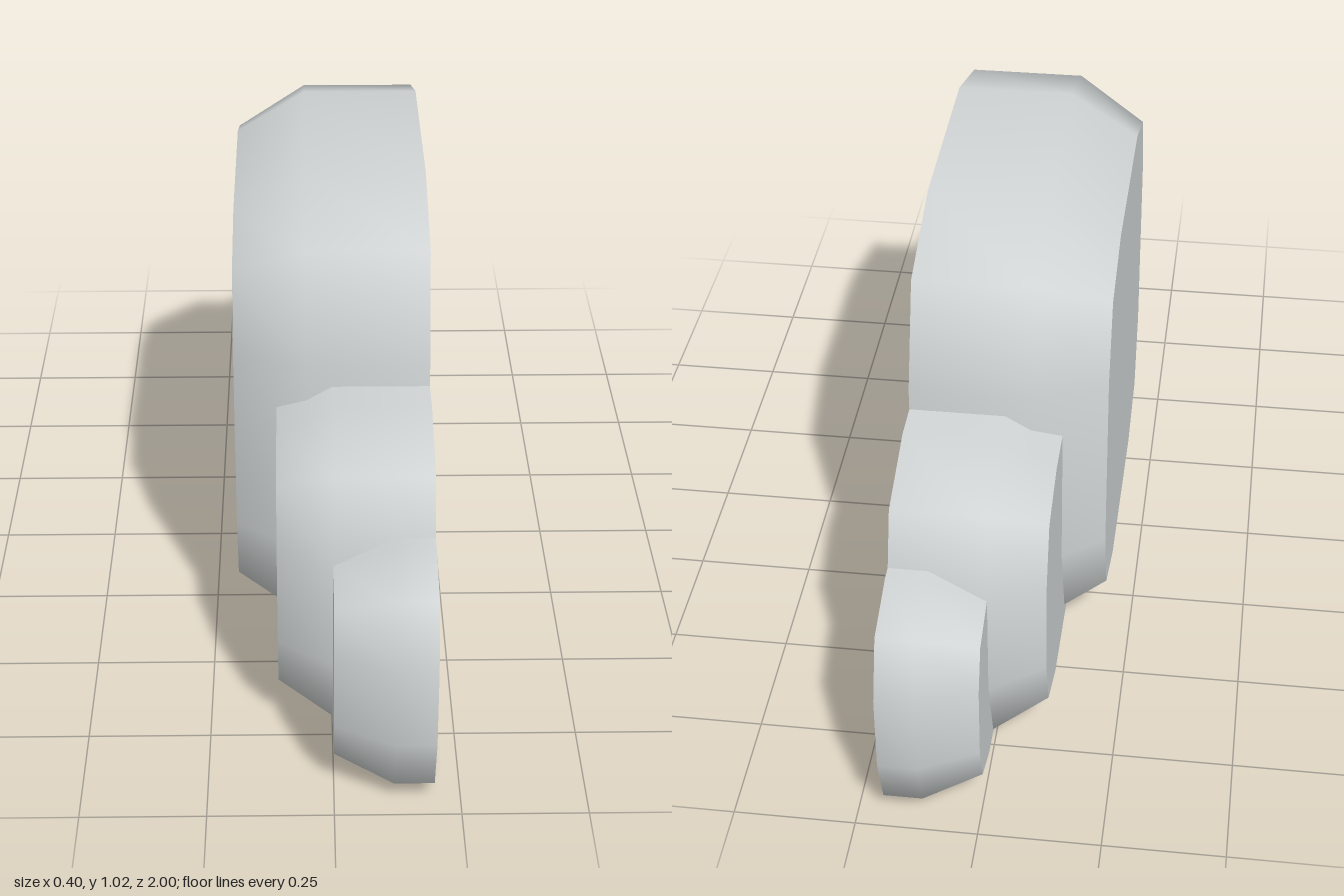
import * as THREE from 'three';

const BACK_X = 0.198;

// Rounded-rectangle outline (z, y), counter-clockwise, inset by b; two segments per corner
function outline(halfWidth, height, r, b) {
  const m = 0.25 * r + 0.8 * b, t = r + 0.155 * b;
  const corner = [[t, b], [m, m], [b, t]]; // inward distances from the sharp corner
  const rightBottom = corner.map(([dz, dy]) => new THREE.Vector2(halfWidth - dz, dy));
  const rightTop = rightBottom.map(p => new THREE.Vector2(p.x, height - p.y)).reverse();
  const right = [...rightBottom, ...rightTop];
  const left = right.map(p => new THREE.Vector2(-p.x, p.y)).reverse();
  return [...right, ...left];
}

// Smooth wall lofted from the flat back to the bevelled rim
function wallGeometry(rings) {
  const n = rings[0].points.length, pos = [], index = [];
  for (const { x, points } of rings) for (const p of points) pos.push(x, p.y, p.x);
  for (let k = 0; k < rings.length - 1; k++) {
    for (let i = 0; i < n; i++) {
      const j = (i + 1) % n;
      const a = k * n + i, b = k * n + j, c = b + n, d = a + n;
      index.push(a, b, c, a, c, d);
    }
  }
  const g = new THREE.BufferGeometry();
  g.setAttribute('position', new THREE.Float32BufferAttribute(pos, 3));
  g.setIndex(index);
  g.computeVertexNormals();
  return g;
}

export function createModel() {
  const model = new THREE.Group();
  model.name = 'halfCloud';
  const cloudGrey = new THREE.MeshStandardMaterial({ color: 0xd0d4d4 });
  cloudGrey.name = 'cloudGrey';

  const add = (parent, name, geometry) => {
    const mesh = new THREE.Mesh(geometry, cloudGrey);
    mesh.name = name;
    parent.add(mesh);
  };

  // Three nested puffs, each bevelled towards -x
  const puffs = [
    { name: 'lowPuff', w: 1.0, h: 0.515, r: 0.17, rimX: 0.118, faceX: 0.0, bevel: 0.052 },
    { name: 'middlePuff', w: 0.82, h: 0.687, r: 0.227, rimX: 0.002, faceX: -0.11, bevel: 0.067 },
    { name: 'tallPuff', w: 0.512, h: 1.025, r: 0.293, rimX: -0.05, faceX: -0.198, bevel: 0.088 },
  ];
  for (const { name, w, h, r, rimX, faceX, bevel } of puffs) {
    const puff = new THREE.Group();
    puff.name = name;
    const full = outline(w, h, r, 0), inner = outline(w, h, r, bevel);
    add(puff, name + 'Wall', wallGeometry([
      { x: BACK_X, points: full }, { x: rimX, points: full }, { x: faceX, points: inner },
    ]));
    const face = new THREE.ShapeGeometry(new THREE.Shape(inner));
    face.rotateY(-Math.PI / 2).translate(faceX, 0, 0);
    add(puff, name + 'Face', face);
    model.add(puff);
  }

  // One flat back following the combined silhouette
  const half = [
    [0.83, 0], [0.957, 0.043], [1, 0.17], [1, 0.345], [0.957, 0.472], [0.83, 0.515], [0.803, 0.515],
    [0.763, 0.63], [0.593, 0.687], [0.512, 0.687], [0.512, 0.732], [0.439, 0.952], [0.219, 1.025],
  ].map(([z, y]) => new THREE.Vector2(z, y));
  const mirrored = half.map(p => new THREE.Vector2(-p.x, p.y)).reverse();
  const back = new THREE.ShapeGeometry(new THREE.Shape([...half, ...mirrored]));
  back.rotateY(Math.PI / 2).translate(BACK_X, 0, 0);
  add(model, 'flatBack', back);

  return model;
}
